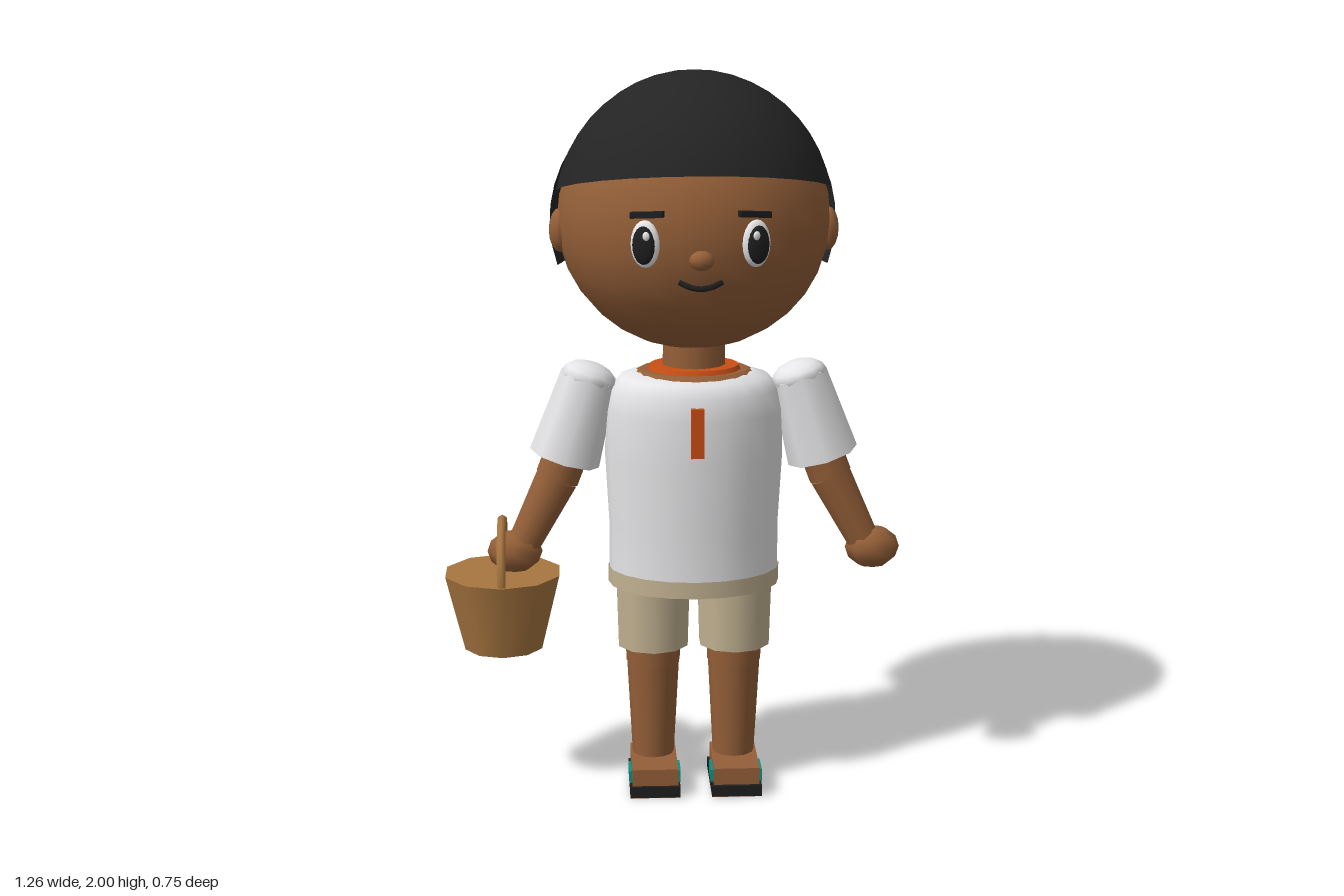
import * as THREE from 'three';
import { ParametricGeometry } from 'three/addons/geometries/ParametricGeometry.js';

const V = (x, y, z) => new THREE.Vector3(x, y, z);

export function createModel() {
  const model = new THREE.Group();
  model.name = 'child';
  const colour = (name, hex, side = THREE.FrontSide) => {
    const m = new THREE.MeshStandardMaterial({ color: hex, side });
    m.name = name;
    return m;
  };
  const skin = colour('skin', 0x945f38);
  const hair = colour('hair', 0x242424, THREE.DoubleSide);
  const black = colour('black', 0x1e1e1e);
  const white = colour('eyeWhite', 0xf2f2f2);
  const cloth = colour('shirtWhite', 0xf0f0f2, THREE.DoubleSide);
  const beige = colour('beige', 0xc2b292, THREE.DoubleSide);
  const orange = colour('orange', 0xc84e14);
  const teal = colour('teal', 0x0f8f82);
  const wicker = colour('wicker', 0xa87640);

  // The body stands slightly off centre, balancing the basket
  const body = new THREE.Group();
  body.name = 'body';
  body.position.x = 0.055;
  model.add(body);

  const add = (name, geo, mat, pos = [0, 0, 0], parent = body) => {
    const m = new THREE.Mesh(geo, mat);
    m.name = name;
    m.position.set(...pos);
    parent.add(m);
    return m;
  };
  const ball = (name, mat, pos, size, w = 14, h = 10, parent = body) => {
    const m = add(name, new THREE.SphereGeometry(1, w, h), mat, pos, parent);
    m.scale.set(...size);
    return m;
  };
  const box = (name, mat, pos, size) => add(name, new THREE.BoxGeometry(...size), mat, pos);
  // Tapered limb from a down to b
  const limb = (name, mat, a, b, ra, rb, sides) => {
    const m = add(name, new THREE.CylinderGeometry(ra, rb, a.distanceTo(b), sides), mat);
    m.position.copy(a).add(b).multiplyScalar(0.5);
    m.quaternion.setFromUnitVectors(V(0, 1, 0), a.clone().sub(b).normalize());
    return m;
  };

  // Head
  ball('head', skin, [0, 1.602, -0.01], [0.37, 0.352, 0.347], 22, 16);
  ball('nose', skin, [0, 1.545, 0.35], [0.033, 0.026, 0.026], 10, 8);
  const smile = new THREE.CatmullRomCurve3([
    V(-0.055, 1.483, 0.309), V(-0.03, 1.472, 0.319), V(0, 1.467, 0.322), V(0.03, 1.472, 0.319), V(0.055, 1.483, 0.309)]);
  add('mouth', new THREE.TubeGeometry(smile, 14, 0.008, 6), black);
  for (const s of [-1, 1]) {
    const eye = new THREE.Group();
    eye.name = 'eye';
    eye.position.set(s * 0.143, 1.582, 0.305);
    eye.rotation.y = s * 0.4;
    body.add(eye);
    ball('eyeWhite', white, [0, 0, 0], [0.04, 0.062, 0.02], 16, 10, eye);
    ball('pupil', black, [0, -0.002, 0.012], [0.031, 0.05, 0.014], 16, 10, eye);
    ball('eyeShine', white, [-s * 0.012, 0.024, 0.025], [0.01, 0.012, 0.006], 8, 6, eye);
    const brow = box('eyebrow', black, [s * 0.138, 1.658, 0.308], [0.088, 0.016, 0.02]);
    brow.rotation.set(0, s * 0.38, -s * 0.07);
    ball('ear', skin, [s * 0.362, 1.575, 0], [0.03, 0.06, 0.044], 10, 8);
  }

  // Hair cap, cut by a plane that rises toward the brow
  const [cx, cy, cz] = [0.377, 0.39, 0.357];
  const cap = new ParametricGeometry((u, v, p) => {
    const a = Math.PI + u * Math.PI * 2;
    const slope = 0.23 * cz * Math.cos(a);
    const level = 1.683 - 0.23 * 0.01 - 1.61;
    const end = Math.acos(level / Math.hypot(cy, slope)) - Math.atan2(slope, cy);
    const t = Math.max(v, 0.002) * end;
    p.set(cx * Math.sin(t) * Math.sin(a), 1.61 + cy * Math.cos(t), -0.01 + cz * Math.sin(t) * Math.cos(a));
  }, 24, 10);
  cap.computeVertexNormals();
  add('hairCap', cap, hair);

  // Longer hair behind the ears, cut straight at the front and bottom
  const back = new ParametricGeometry((u, v, p) => {
    const low = Math.asin((1.47 - 1.59) / 0.38), high = Math.acos(0.046 / 0.365);
    const t = low + v * (high - low);
    const r = Math.cos(t);
    const reach = Math.acos(Math.min(1, 0.045 / (0.365 * r)));
    const a = (u * 2 - 1) * reach;
    p.set(0.393 * r * Math.sin(a), 1.59 + 0.38 * Math.sin(t), -0.01 - 0.365 * r * Math.cos(a));
  }, 14, 12);
  back.computeVertexNormals();
  add('hairBack', back, hair);

  // Neck and collar
  limb('neck', skin, V(0, 1.29, 0), V(0, 1.17, 0), 0.085, 0.088, 14);
  add('neckline', new THREE.CylinderGeometry(0.15, 0.17, 0.012, 18), skin, [0, 1.188, 0.008]).scale.z = 0.8;
  add('collar', new THREE.CylinderGeometry(0.122, 0.132, 0.02, 18), orange, [0, 1.196, 0.01]).scale.z = 0.88;

  // Shirt, waistband and placket
  const profile = [[0.235, 0.625], [0.234, 0.75], [0.245, 0.95], [0.243, 1.08], [0.232, 1.14], [0.205, 1.175], [0.155, 1.19], [0.001, 1.19]]
    .map(([x, y]) => new THREE.Vector2(x, y));
  add('shirt', new THREE.LatheGeometry(profile, 20), cloth, [0, 0, 0.008]).scale.z = 0.75;
  add('waistband', new THREE.CylinderGeometry(0.238, 0.238, 0.047, 20, 1, true), beige, [0, 0.612, 0.008]).scale.z = 0.78;
  add('hips', new THREE.CylinderGeometry(0.232, 0.232, 0.02, 20), skin, [0, 0.61, 0.008]).scale.z = 0.76;
  box('placket', orange, [0, 1.052, 0.188], [0.035, 0.135, 0.024]);

  // Arms and legs
  for (const s of [-1, 1]) {
    const shoulder = V(s * 0.288, 1.172, 0.01), cuff = V(s * 0.357, 0.945, 0.013);
    const elbow = V(s * 0.378, 0.89, 0.015), wrist = V(s * 0.48, 0.69, 0.03);
    const sleeve = limb('sleeve', cloth, shoulder, cuff, 0.078, 0.099, 8);
    const cover = ball('shoulder', cloth, shoulder.toArray(), [0.077, 0.042, 0.077], 12, 8);
    cover.quaternion.copy(sleeve.quaternion);
    limb('upperArm', skin, cuff, elbow, 0.062, 0.062, 10);
    limb('forearm', skin, elbow, wrist, 0.06, 0.045, 10);
    ball('hand', skin, [s * 0.497, 0.685, 0.033], [0.076, 0.06, 0.06], 8, 6);

    const x = s * 0.114;
    limb('shortsLeg', beige, V(x, 0.61, 0.012), V(x, 0.405, 0.012), 0.107, 0.101, 10);
    limb('knee', skin, V(x, 0.42, 0.014), V(x, 0.355, 0.014), 0.077, 0.075, 12);
    limb('shin', skin, V(x, 0.355, 0.014), V(x, 0.07, 0.014), 0.073, 0.058, 12);
    box('foot', skin, [x, 0.056, 0.062], [0.128, 0.052, 0.205]);
    box('sandalStrap', teal, [x, 0.051, 0.102], [0.144, 0.036, 0.076]);
    box('sandalSole', black, [x, 0.0185, 0.065], [0.14, 0.031, 0.22]);
    box('soleBottom', skin, [x, 0.002, 0.065], [0.13, 0.004, 0.21]);
  }

  // Basket in the right hand
  const basket = new THREE.Group();
  basket.name = 'basket';
  basket.position.set(-0.477, 0, 0.03);
  model.add(basket);
  add('basketBody', new THREE.CylinderGeometry(0.165, 0.112, 0.215, 10), wicker, [0, 0.5175, 0], basket);
  const handle = add('basketHandle', new THREE.TorusGeometry(0.145, 0.0135, 6, 16, Math.PI), wicker, [0, 0.625, 0], basket);
  handle.rotation.y = Math.PI / 2;

  return model;
}
